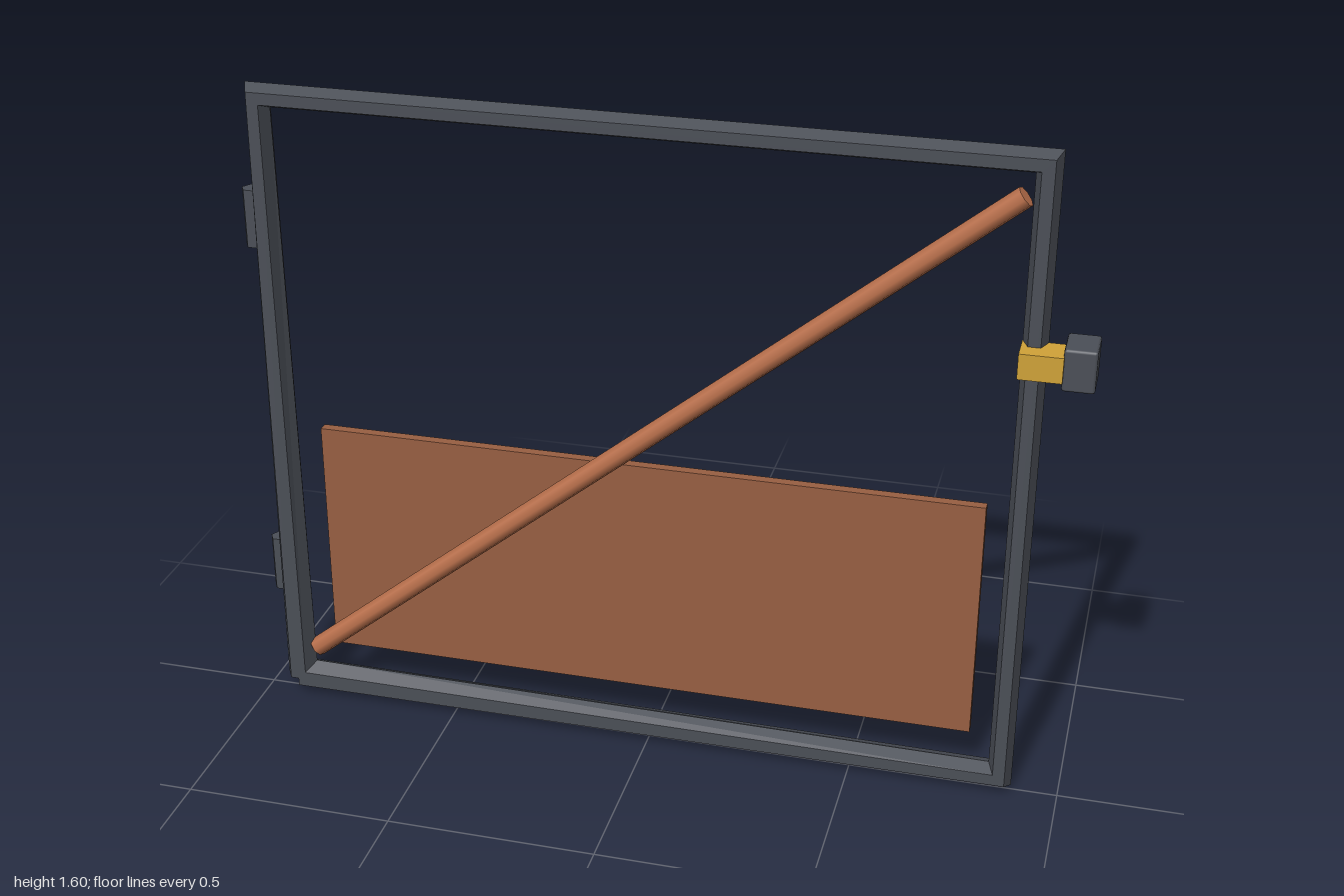
import * as THREE from 'three';
import { RoundedBoxGeometry } from 'three/addons/geometries/RoundedBoxGeometry.js';

const mat = (name, color, extra = {}) => {
  const m = new THREE.MeshStandardMaterial({ color, ...extra });
  m.name = name;
  return m;
};

// One hexagonal tube bent round the gate, its rings turned 45 degrees at the corners
function frameGeometry(radius) {
  const h = Math.SQRT1_2, sides = 6;
  const stations = [ // centre x, y and in-plane outward direction
    [-0.915, 0.045, 0, -1],
    [0.862, 0.045, h, -h],
    [0.862, 1.577, h, h],
    [-0.915, 1.577, -h, h],
    [-0.915, 0.045, -1, 0],
  ];
  const pos = [], index = [];
  stations.forEach(([x, y, nx, ny], i) => {
    for (let k = 0; k < sides; k++) {
      const a = (k / sides) * Math.PI * 2;
      // corner rings lie on the bend's 45 degree plane
      const r = radius * Math.cos(a);
      pos.push(x + nx * r, y + ny * r, radius * Math.sin(a));
      if (i === stations.length - 1) continue;
      const p = i * sides + k, q = i * sides + (k + 1) % sides;
      index.push(p, p + sides, q, q, p + sides, q + sides);
    }
  });
  const g = new THREE.BufferGeometry();
  g.setAttribute('position', new THREE.Float32BufferAttribute(pos, 3));
  g.setIndex(index);
  const flat = g.toNonIndexed();
  flat.computeVertexNormals();
  return flat;
}

export function createModel() {
  const group = new THREE.Group();
  group.name = 'gate';
  const steel = mat('dark steel', 0x4b4f57, { side: THREE.DoubleSide });
  const wood = mat('panel brown', 0x985f42);
  const copper = mat('brace copper', 0xb86f4b);
  const brass = mat('latch brass', 0xd0a238);

  const add = (name, geometry, material, x = 0, y = 0, z = 0) => {
    const m = new THREE.Mesh(geometry, material);
    m.name = name;
    m.position.set(x, y, z);
    group.add(m);
    return m;
  };
  // box given by its limits
  const box = (name, material, [x0, x1], [y0, y1], [z0, z1], bevel) => add(name,
    bevel ? new RoundedBoxGeometry(x1 - x0, y1 - y0, z1 - z0, 1, bevel)
      : new THREE.BoxGeometry(x1 - x0, y1 - y0, z1 - z0),
    material, (x0 + x1) / 2, (y0 + y1) / 2, (z0 + z1) / 2);

  add('frame', frameGeometry(0.04), steel);

  // Lower panel on the back of the frame
  box('lowerPanel', wood, [-0.835, 0.78], [0.125, 0.73], [-0.06, -0.035]);

  // Diagonal brace
  const a = new THREE.Vector3(-0.87, 0.127, 0), b = new THREE.Vector3(0.817, 1.495, 0);
  const brace = add('diagonalBrace', new THREE.CylinderGeometry(0.025, 0.025, a.distanceTo(b), 8), copper);
  brace.position.copy(a).lerp(b, 0.5);
  brace.quaternion.setFromUnitVectors(new THREE.Vector3(0, 1, 0), b.clone().sub(a).normalize());

  // Hinge barrels
  for (const [name, y] of [['upperHinge', 1.255], ['lowerHinge', 0.328]]) {
    const g = new THREE.CylinderGeometry(0.024, 0.024, 0.143, 6).toNonIndexed();
    g.computeVertexNormals();
    g.rotateY(Math.PI / 2);
    add(name, g, steel, -0.978, y, -0.062);
  }

  // Latch
  box('latchBolt', brass, [0.833, 0.93], [1.108, 1.168], [0, 0.077]);
  box('latchBlock', steel, [0.928, 1.0], [1.087, 1.185], [-0.03, 0.07], 0.006);

  return group;
}
